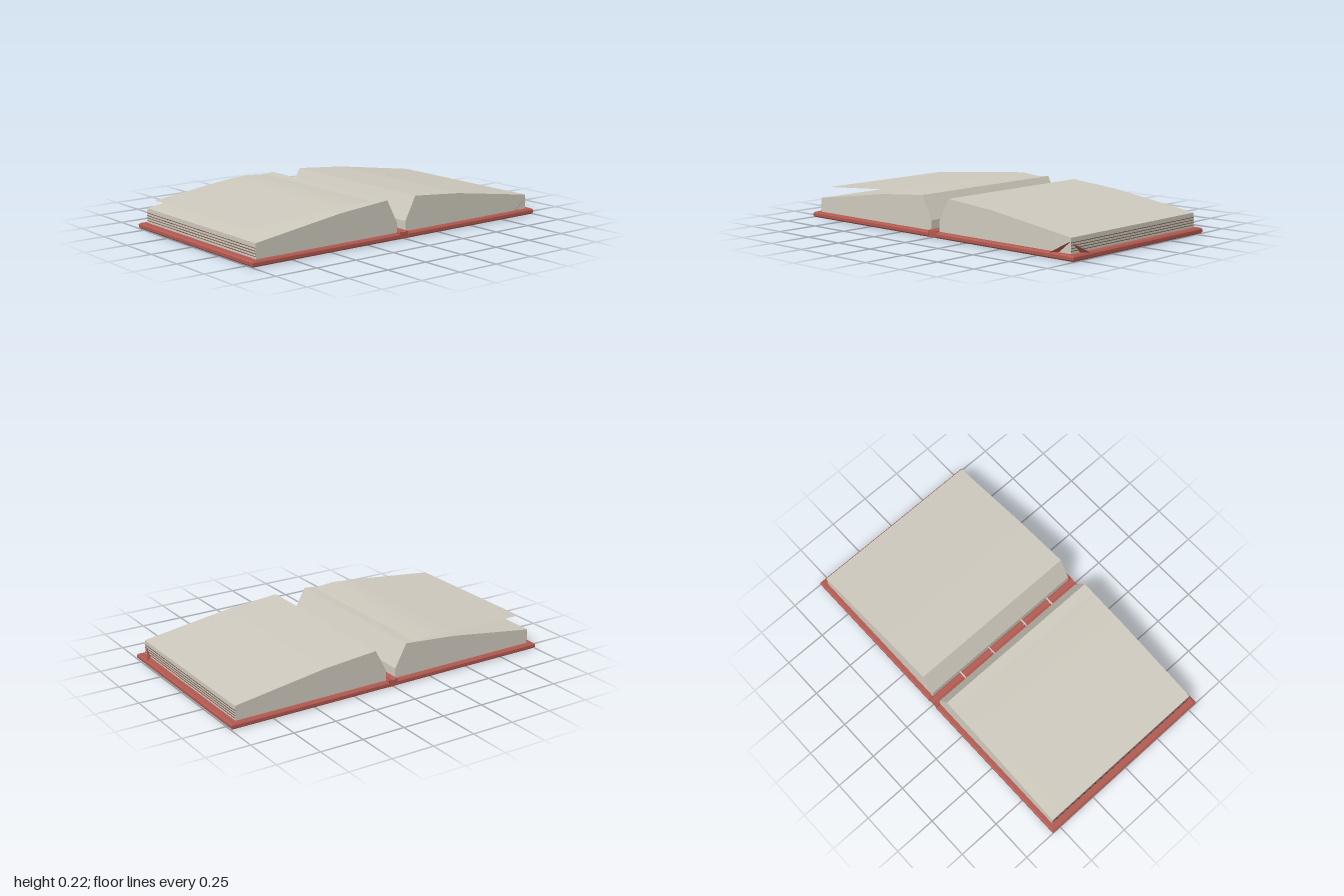
import * as THREE from 'three';

export function createModel() {
  const book = new THREE.Group();
  book.name = 'openBook';

  const mat = (name, color) => {
    const m = new THREE.MeshStandardMaterial({ color });
    m.name = name;
    return m;
  };
  const coverRed = mat('coverRed', 0xb0584f);
  const paper = mat('paper', 0xcdc8bc);
  const pageLine = mat('pageLine', 0x6e4a42);
  const thread = mat('thread', 0xd2cdc4);
  const flapRed = coverRed.clone();
  flapRed.name = 'flapRed';
  flapRed.side = THREE.DoubleSide;
  const sheetPaper = paper.clone();
  sheetPaper.name = 'sheetPaper';
  sheetPaper.side = THREE.DoubleSide;

  const add = (name, geo, material) => {
    const mesh = new THREE.Mesh(geo, material);
    mesh.name = name;
    book.add(mesh);
    return mesh;
  };
  const box = (name, w, h, d, x, y, z, material) =>
    add(name, new THREE.BoxGeometry(w, h, d), material).position.set(x, y, z);

  // Outline in x, y extruded evenly along z
  const prism = (points, depth) => {
    const shape = new THREE.Shape(points.map(([x, y]) => new THREE.Vector2(x, y)));
    const geo = new THREE.ExtrudeGeometry(shape, { depth, bevelEnabled: false });
    return geo.translate(0, 0, -depth / 2);
  };

  // Board with chamfered edges, lying flat
  const board = (w, d, h, bevel) => {
    const x = w / 2 - bevel, z = d / 2 - bevel;
    const shape = new THREE.Shape();
    shape.moveTo(-x, -z).lineTo(x, -z).lineTo(x, z).lineTo(-x, z).closePath();
    const geo = new THREE.ExtrudeGeometry(shape, {
      depth: h - 2 * bevel, bevelEnabled: true,
      bevelThickness: bevel, bevelSize: bevel, bevelSegments: 1,
    });
    return geo.rotateX(-Math.PI / 2).translate(0, bevel, 0);
  };

  // Left and right halves: board, page block and lines along the fore edge
  for (const [side, s] of [['left', 1], ['right', -1]]) {
    add(side + 'Cover', board(0.972, 1.11, 0.032, 0.008), coverRed).position.x = s * 0.514;

    const profile = [[0.03, 0.028], [0.96, 0.028], [0.96, 0.115], [0.42, 0.193], [0.1, 0.22], [0.03, 0.088]]
      .map(([x, y]) => [s * x, y]);
    add(side + 'PageBlock', prism(profile, 1.05), paper);

    for (const y of [0.046, 0.06, 0.074, 0.089])
      box(side + 'PageLine', 0.004, 0.003, 1.05, s * 0.96, y, 0, pageLine);
  }

  // Spine with a shallow groove along the middle
  add('spine', prism([[-0.032, 0], [0.032, 0], [0.032, 0.036], [0.024, 0.041],
    [0, 0.034], [-0.024, 0.041], [-0.032, 0.036]], 1.1), coverRed);

  // Binding threads across the gutter
  for (const z of [-0.32, -0.1, 0.15, 0.35]) {
    box('bindingThread', 0.06, 0.006, 0.006, 0, 0.062, z, thread);
    box('threadKnot', 0.006, 0.022, 0.006, 0, 0.05, z, thread);
  }

  // Loose curved sheet lifting off the right-hand pages: x, y, z back, z front
  const rows = [[-0.96, 0.173, -0.44, 0.465], [-0.43, 0.216, -0.514, 0.506],
    [-0.29, 0.225, -0.515, 0.508], [-0.12, 0.211, -0.515, 0.508]];
  const sheetPoints = rows.flatMap(([x, y, back, front]) => [x, y, back, x, y, front]);
  const sheetIndex = [];
  for (let i = 0; i < rows.length - 1; i++) {
    const a = i * 2;
    sheetIndex.push(a, a + 1, a + 2, a + 1, a + 3, a + 2);
  }
  const sheet = new THREE.BufferGeometry();
  sheet.setAttribute('position', new THREE.Float32BufferAttribute(sheetPoints, 3));
  sheet.setIndex(sheetIndex);
  sheet.computeVertexNormals();
  add('looseSheet', sheet, sheetPaper);

  // Bent corner flap at the front of the left cover
  const flap = new THREE.BufferGeometry();
  flap.setAttribute('position', new THREE.Float32BufferAttribute(
    [0.845, 0.031, 0.555, 1, 0.031, 0.42, 0.952, 0.094, 0.528], 3));
  flap.computeVertexNormals();
  add('bentCorner', flap, flapRed);

  return book;
}
